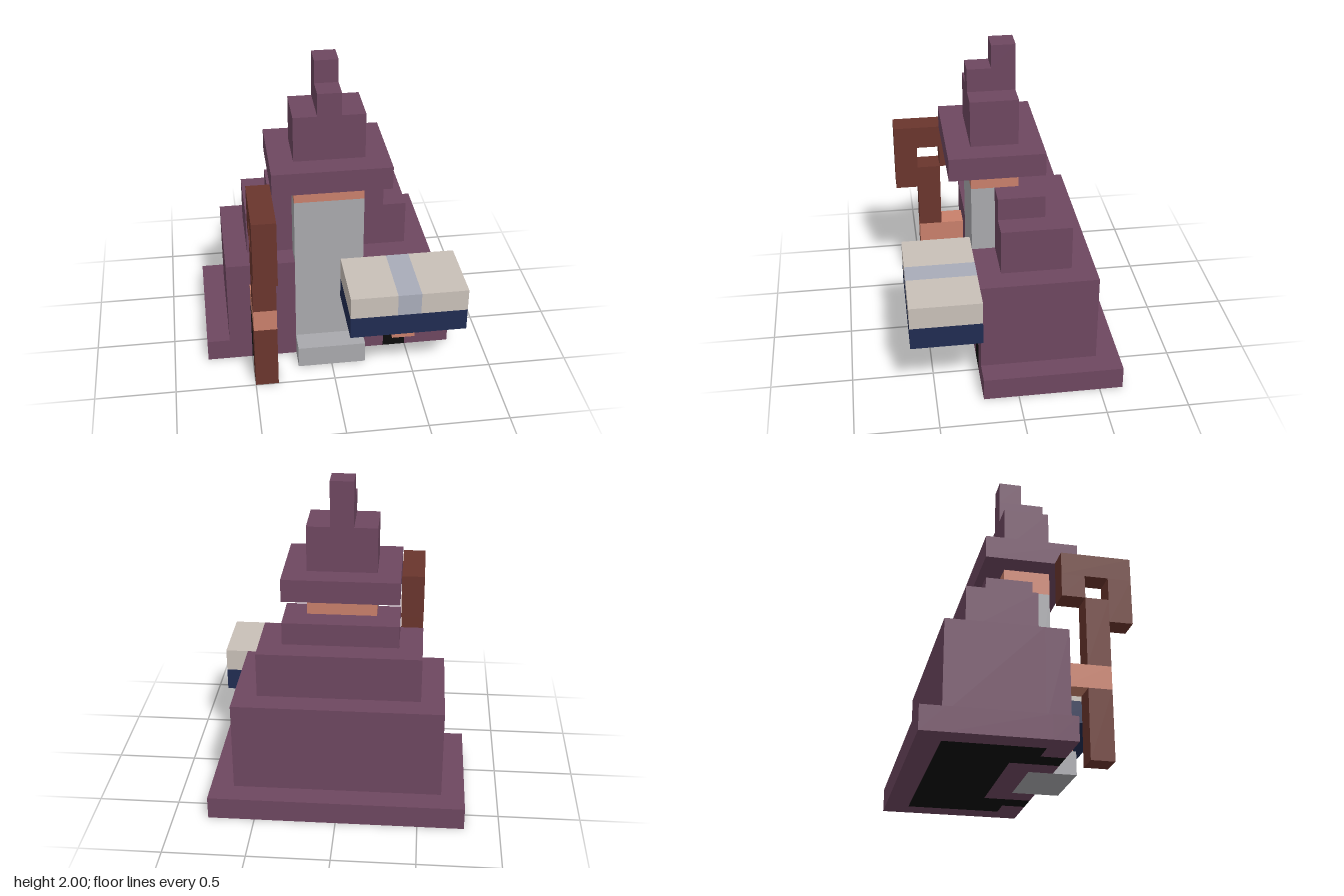
import * as THREE from 'three';

const U = 1 / 7; // edge of one block

const mat = (name, color) => {
  const m = new THREE.MeshStandardMaterial({ color });
  m.name = name;
  return m;
};

export function createModel() {
  const purple = mat('purple cloth', 0x6e4760);
  const black = mat('black lining', 0x0d0d0d);
  const skin = mat('skin', 0xc9806b);
  const grey = mat('grey beard', 0xa9a9ad);
  const brown = mat('brown wood', 0x6a352d);
  const cream = mat('cream paper', 0xc9c0b8);
  const spine = mat('shaded page', 0xa9acb9);
  const navy = mat('navy cover', 0x202c52);

  const model = new THREE.Group();
  model.name = 'robedFigure';

  // each box is [x0, x1, y0, y1, z0, z1] in blocks
  const part = (name, material, boxes) => {
    const group = new THREE.Group();
    group.name = name;
    for (const [x0, x1, y0, y1, z0, z1] of boxes) {
      const geo = new THREE.BoxGeometry((x1 - x0) * U, (y1 - y0) * U, (z1 - z0) * U);
      geo.translate((x0 + x1) / 2 * U, (y0 + y1) / 2 * U, (z0 + z1) / 2 * U);
      const mesh = new THREE.Mesh(geo, material);
      mesh.name = name;
      group.add(mesh);
    }
    model.add(group);
  };
  const mirrored = (boxes) => boxes.flatMap((b) => [b, [-b[1], -b[0], ...b.slice(2)]]);

  // hem: a frame around the dark underside
  part('robeHem', purple, [
    [-5.5, 5.5, 0, 1, -4.5, -3.5],
    [-2.5, 2.5, 0, 1, -0.5, 0.5],
    ...mirrored([
      [4.5, 5.5, 0, 1, -3.5, 0.5],
      [3.5, 5.5, 0, 1, 0.5, 1.5],
      [1.5, 2.5, 0, 1, 0.5, 1.5],
    ]),
  ]);

  // stepped robe body
  part('robeBody', purple, [
    [-4.5, 4.5, 1, 5, -3.5, 0.5],
    [-3.5, 3.5, 5, 7, -2.5, 0.5],
    [-2.5, 2.5, 7, 8, -1.5, 0.5],
  ]);

  // robe front on either side of the beard, open below the sleeves
  part('robeFront', purple, [
    ...mirrored([
      [1.5, 2.5, 1, 5, 0.5, 1.5],
      [3.5, 4.5, 1, 5, 0.5, 1.5],
    ]),
    [2.5, 3.5, 2, 5, 0.5, 1.5],
    [-3.5, -2.5, 3, 5, 0.5, 1.5],
  ]);

  // dark underside and sleeve openings
  part('lining', black, [
    [-4.5, 4.5, 0, 0.9, -3.5, -0.5],
    ...mirrored([[2.5, 4.5, 0, 0.9, -0.5, 0.5]]),
    [2.5, 3.5, 0, 2, 0.5, 1.5],
    [-3.5, -2.5, 0, 3, 0.5, 1.5],
  ]);

  // head, beard and hands
  part('head', skin, [[-1.5, 1.5, 8, 9, -0.5, 1.5]]);
  part('beard', grey, [
    [-1.5, 1.5, 0, 8, 0.5, 1.5],
    [-1.5, 1.5, 0, 1, 1.5, 2.5],
  ]);
  part('leftHand', skin, [[2.5, 3.5, 2, 3, 1.5, 3.5]]);
  part('rightHand', skin, [[-3.5, -2.5, 3, 4, 1.5, 3.5]]);

  // pointed hat
  part('hatBrim', purple, [[-2.5, 2.5, 9, 10, -1.5, 2.5]]);
  part('hatCrown', purple, [
    [-1.5, 1.5, 10, 12, -0.5, 1.5],
    [-0.5, 0.5, 12, 13, -0.5, 1.5],
    [-0.5, 0.5, 13, 14, -0.5, 0.5],
  ]);

  // staff with hooked top
  part('staff', brown, [
    [-3.5, -2.5, 0, 3, 2.5, 3.5],
    [-3.5, -2.5, 4, 7, 2.5, 3.5],
    [-3.5, -2.5, 6, 8, 3.5, 4.5],
    [-3.5, -2.5, 8, 9, 1.5, 4.5],
    [-3.5, -2.5, 7, 8, 1.5, 2.5],
  ]);

  // open book
  part('bookCover', navy, [[0.5, 5.5, 3, 4, 1.5, 4.5]]);
  part('bookPages', cream, [
    [0.5, 2.5, 4, 5, 1.5, 4.5],
    [3.5, 5.5, 4, 5, 1.5, 4.5],
  ]);
  part('bookFold', spine, [[2.5, 3.5, 4, 5, 1.5, 4.5]]);

  return model;
}
